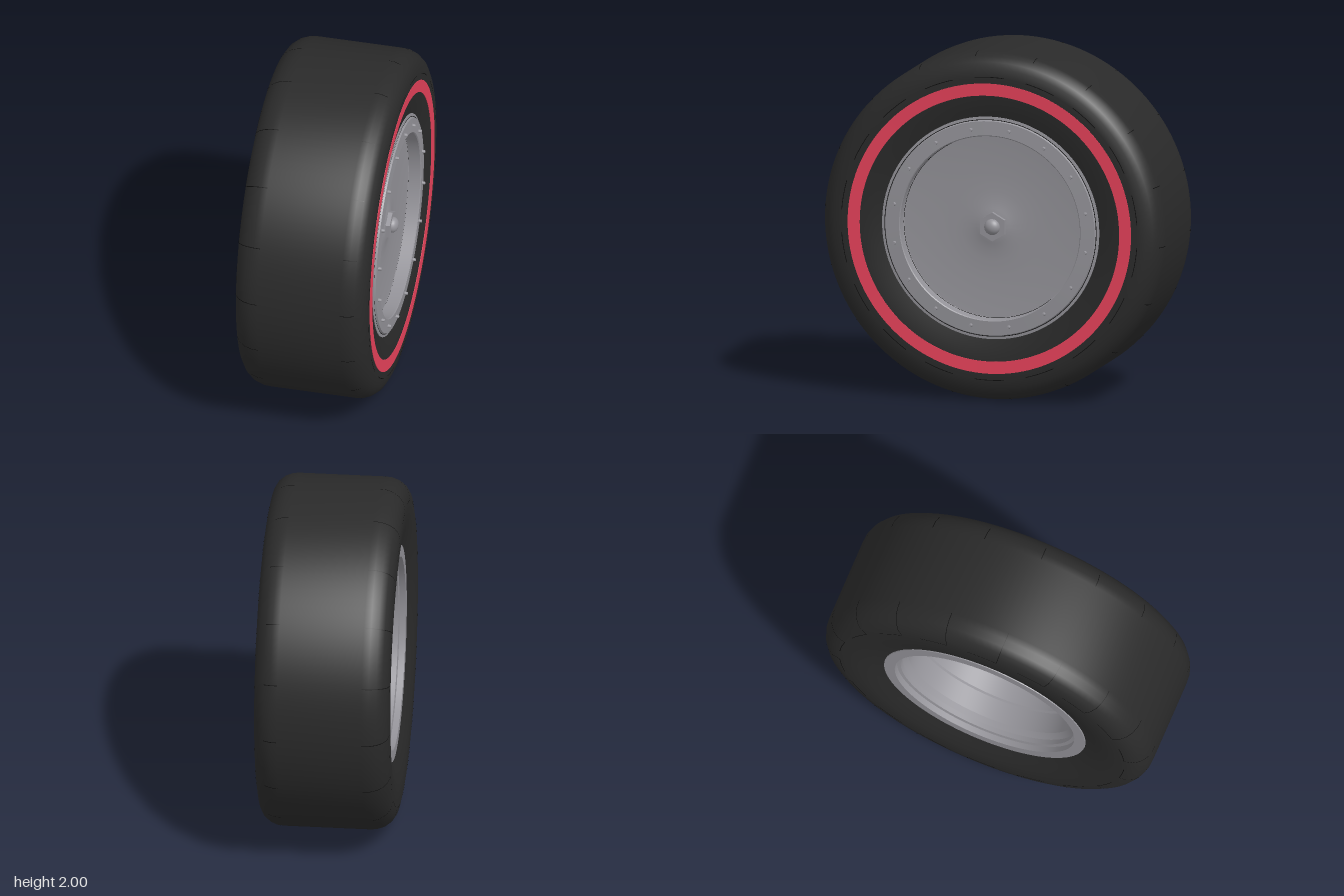
import * as THREE from 'three';
import { toCreasedNormals } from 'three/addons/utils/BufferGeometryUtils.js';

export function createModel() {
  const model = new THREE.Group();
  model.name = 'wheel';
  const paint = (name, color) => {
    const m = new THREE.MeshStandardMaterial({ color });
    m.name = name;
    return m;
  };
  const rubber = paint('rubber', 0x2a2a2a);
  const metal = paint('metal', 0x949399);
  const red = paint('red', 0xe8425b);
  const black = paint('grooveBlack', 0x0c0c0c);
  black.side = THREE.DoubleSide;

  // Everything is turned around local y, then laid over so the axle runs along x
  const axle = new THREE.Group();
  axle.name = 'axle';
  axle.rotation.z = -Math.PI / 2;
  axle.position.y = 1;
  model.add(axle);

  const add = (name, geometry, material, y = 0, parent = axle) => {
    const mesh = new THREE.Mesh(geometry, material);
    mesh.name = name;
    mesh.position.y = y;
    parent.add(mesh);
    return mesh;
  };
  // Profiles are [radius, position along axle]
  const turn = (profile, segments = 96, start = 0, length = Math.PI * 2, crease = 0.5) =>
    toCreasedNormals(new THREE.LatheGeometry(
      profile.map(([r, y]) => new THREE.Vector2(r, y)), segments, start, length), crease);

  // Tyre: sidewalls sink in towards the rim
  const backShoulder = [[0.87, -0.389], [0.92, -0.379], [0.955, -0.357], [0.982, -0.322], [0.997, -0.28], [1, -0.24]];
  const frontShoulder = [[1, 0.24], [0.997, 0.28], [0.982, 0.318], [0.955, 0.351], [0.92, 0.37], [0.87, 0.379]];
  add('tyre', turn([
    [0.6, -0.34], [0.68, -0.362], [0.76, -0.385], ...backShoulder,
    ...frontShoulder, [0.76, 0.375], [0.68, 0.36], [0.62, 0.343],
  ], 128), rubber);

  // Painted ring on the outer sidewall
  add('redRing', turn([[0.835, 0.376], [0.835, 0.38], [0.765, 0.378], [0.765, 0.374]], 128), red);

  // Tread slits: thin strips lying on the shoulders
  const slits = new THREE.Group();
  slits.name = 'treadSlits';
  axle.add(slits);
  const lift = ([r, y]) => [r + 0.002, y + Math.sign(y) * 0.001];
  const count = 18, step = Math.PI * 2 / count;
  for (let i = 0; i < count; i++) {
    const a = i * step + Math.PI / 2;
    for (const [side, shoulder, first] of [['back', backShoulder, 0], ['front', [...frontShoulder].reverse(), 3]]) {
      const line = shoulder.map(lift), edge = line[0][1];
      add(side + 'ArcSlit', turn([[0.87, edge], [0.874, edge]], 8, a - 0.1, 0.2), black, 0, slits);
      add(side + 'LongSlit', turn(line.slice(first), 1, a + 0.1, 0.004), black, 0, slits);
    }
  }

  // Front of the rim: sunken lip, raised bolt ring, cover rising to the middle
  add('rimFront', turn([
    [0.64, 0.335], [0.64, 0.352], [0.622, 0.354], [0.616, 0.366], [0.535, 0.37], [0.53, 0.365],
    [0.53, 0.298], [0.525, 0.295],
  ]), metal);
  add('cover', turn([
    [0.53, 0.295], [0.45, 0.288], [0.3, 0.282], [0.2, 0.282], [0.14, 0.286], [0.1, 0.293], [0.06, 0.302], [0, 0.302],
  ]), metal);
  add('coverSeam', turn([[0.53, 0.297], [0.526, 0.297]]), black);
  add('lipSeam', turn([[0.625, 0.3555], [0.621, 0.3555]]), black);

  // Rim bolts
  for (let i = 0; i < 16; i++) {
    const a = (i + 0.5) * Math.PI / 8;
    const bolt = add('rimBolt', new THREE.CylinderGeometry(0.008, 0.011, 0.02, 10), metal, 0.376);
    bolt.position.x = 0.573 * Math.sin(a);
    bolt.position.z = 0.573 * Math.cos(a);
  }

  // Centre nut with a domed tip
  const hex = new THREE.CylinderGeometry(0.083, 0.083, 0.05, 6);
  hex.rotateY(Math.PI / 6);
  add('centreNut', toCreasedNormals(hex, 0.5), metal, 0.298);
  const dome = new THREE.SphereGeometry(0.046, 24, 12, 0, Math.PI * 2, 0, Math.PI / 2);
  dome.scale(1, 0.8, 1);
  add('nutDome', dome, metal, 0.322);

  // Open back of the rim: hub recess, inner disc, stepped barrel and lip
  add('rimBack', turn([
    [0, 0.06], [0.19, 0.06], [0.19, 0], [0.47, 0], [0.485, -0.12], [0.495, -0.13], [0.505, -0.25],
    [0.53, -0.28], [0.53, -0.31], [0.55, -0.315], [0.55, -0.35], [0.615, -0.35], [0.62, -0.335],
  ]), metal);

  // Hub bolts inside the recess
  for (let i = 0; i < 8; i++) {
    const a = i * Math.PI / 4;
    const bolt = add('hubBolt', toCreasedNormals(new THREE.CylinderGeometry(0.018, 0.018, 0.03, 6), 0.5), metal, 0.047);
    bolt.position.x = 0.15 * Math.sin(a);
    bolt.position.z = 0.15 * Math.cos(a);
  }
  return model;
}
